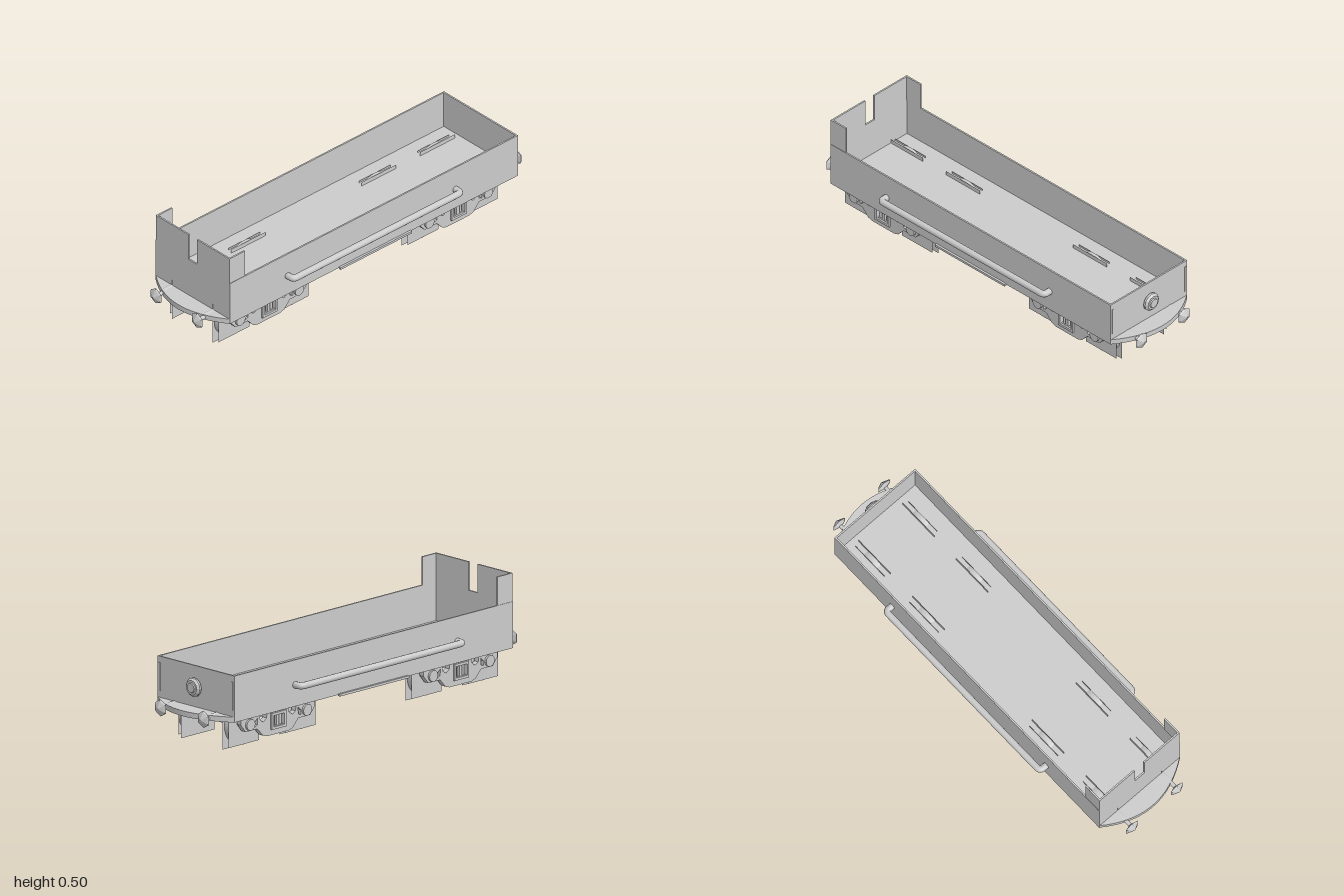
import * as THREE from 'three';

const grey = new THREE.MeshStandardMaterial({ color: 0xcccccc, side: THREE.DoubleSide });
const flat = new THREE.MeshStandardMaterial({ color: 0xcccccc, flatShading: true, side: THREE.DoubleSide });

function add(parent, name, geometry, x = 0, y = 0, z = 0, material = grey) {
  const mesh = new THREE.Mesh(geometry, material);
  mesh.name = name;
  mesh.position.set(x, y, z);
  parent.add(mesh);
  return mesh;
}

// Box given by its limits on each axis
function block(parent, name, x0, x1, y0, y1, z0, z1) {
  return add(parent, name, new THREE.BoxGeometry(x1 - x0, y1 - y0, Math.abs(z1 - z0)),
    (x0 + x1) / 2, (y0 + y1) / 2, (z0 + z1) / 2);
}

// Lathe whose axis points along x; dir is the end it faces
function turned(parent, name, profile, sides, x, y, z, dir, material) {
  const points = profile.map(([r, h]) => new THREE.Vector2(r, h));
  const mesh = add(parent, name, new THREE.LatheGeometry(points, sides), x, y, z, material);
  mesh.rotation.z = -dir * Math.PI / 2;
  return mesh;
}

const outline = (pts, Type = THREE.Shape) => new Type(pts.map(([x, y]) => new THREE.Vector2(x, y)));

function buildBody(root) {
  const body = new THREE.Group();
  body.name = 'body';
  root.add(body);
  block(body, 'floor', -0.88, 0.89, 0.155, 0.19, -0.242, 0.242);
  block(body, 'rightEndWall', -0.88, -0.872, 0.155, 0.372, -0.245, 0.245);
  block(body, 'leftEndWall', 0.882, 0.89, 0.155, 0.372, -0.245, 0.245);
  for (const s of [-1, 1]) {
    block(body, 'sideWall', -0.88, 0.89, 0.155, 0.372, s * 0.245, s * 0.237);
    // Raised screen around the corner
    block(body, 'endScreen', -0.88, -0.872, 0.372, 0.505, s * 0.243, s * 0.029);
    block(body, 'sideScreen', -0.88, -0.785, 0.372, 0.505, s * 0.243, s * 0.235);
    // Low step strip along the sill
    block(body, 'sillStep', -0.21, 0.23, 0.149, 0.16, s * 0.244, s * 0.256);
    // Long side rail with rounded corners
    const path = new THREE.CurvePath();
    const v = (x, z) => new THREE.Vector3(x, 0.256, s * z);
    path.add(new THREE.LineCurve3(v(-0.525, 0.24), v(-0.525, 0.265)));
    path.add(new THREE.QuadraticBezierCurve3(v(-0.525, 0.265), v(-0.525, 0.283), v(-0.505, 0.283)));
    path.add(new THREE.LineCurve3(v(-0.505, 0.283), v(0.485, 0.283)));
    path.add(new THREE.QuadraticBezierCurve3(v(0.485, 0.283), v(0.505, 0.283), v(0.505, 0.265)));
    path.add(new THREE.LineCurve3(v(0.505, 0.265), v(0.505, 0.24)));
    add(body, 'sideRail', new THREE.TubeGeometry(path, 160, 0.016, 12));
    // Upright strip on the end wall
    block(body, 'endStrip', 0.889, 0.893, 0.21, 0.343, s * 0.227, s * 0.236);
  }
}

// Bowed footplate and two buffers at each end
function buildEnds(root) {
  for (const d of [-1, 1]) {
    const end = new THREE.Group();
    end.name = 'endPlatform';
    root.add(end);
    const x0 = d < 0 ? 0.88 : 0.89;
    const arc = [];
    for (let i = 0; i <= 20; i++) {
      const t = i / 10 - 1;
      arc.push([d * (x0 + 0.088 * (1 - t * t)), t * 0.243]);
    }
    const plate = add(end, 'footplate',
      new THREE.ExtrudeGeometry(outline(arc), { depth: 0.025, bevelEnabled: false }), 0, 0.18, 0);
    plate.rotation.x = Math.PI / 2;
    for (const s of [-1, 1]) {
      turned(end, 'bufferShaft', [[0.017, 0], [0.017, 0.05], [0.01, 0.05], [0.01, 0.1]], 12,
        d * 0.88, 0.166, s * 0.136, d);
      const head = turned(end, 'bufferHead', [[0, 0], [0.012, 0], [0.04, 0.01], [0.034, 0.016], [0, 0.032]], 6,
        d * 0.968, 0.166, s * 0.136, d, flat);
      head.geometry.rotateY(Math.PI / 2);
    }
  }
  turned(root, 'endLamp', [[0.03, 0], [0.044, 0.01], [0.044, 0.02], [0.034, 0.03], [0.024, 0.03],
    [0.022, 0.036], [0, 0.036]], 12, 0.889, 0.275, 0, 1, flat);
}

function buildBogie(root, cx) {
  const bogie = new THREE.Group();
  bogie.name = 'bogie';
  bogie.position.x = cx;
  root.add(bogie);

  for (const x of [-0.18, 0.18]) {
    const axle = add(bogie, 'axle', new THREE.CylinderGeometry(0.02, 0.02, 0.3, 16), x, 0.105, 0);
    axle.rotation.x = Math.PI / 2;
    for (const s of [-1, 1]) {
      // Square wheel faces with a round tread between them
      add(bogie, 'wheelInnerFace', new THREE.PlaneGeometry(0.214, 0.21), x, 0.105, s * 0.133);
      add(bogie, 'wheelOuterFace', new THREE.PlaneGeometry(0.192, 0.19), x, 0.105, s * 0.16);
      const tread = add(bogie, 'wheelTread',
        new THREE.CylinderGeometry(0.096, 0.096, 0.027, 32, 1, true), x, 0.105, s * 0.1465);
      tread.rotation.x = Math.PI / 2;
      const box = add(bogie, 'axleBox', new THREE.CylinderGeometry(0.027, 0.027, 0.042, 12), x, 0.108, s * 0.186);
      box.rotation.x = Math.PI / 2;
    }
  }

  // Side frame with lightening holes
  const frame = outline([[-0.235, 0.155], [-0.235, 0.115], [-0.205, 0.078], [-0.13, 0.078], [-0.095, 0.04],
    [-0.07, 0.032], [0.07, 0.032], [0.095, 0.04], [0.13, 0.078], [0.205, 0.078], [0.235, 0.115], [0.235, 0.155]]);
  for (const m of [-1, 1]) {
    frame.holes.push(outline([[m * 0.07, 0.138], [m * 0.115, 0.138], [m * 0.112, 0.115], [m * 0.092, 0.103],
      [m * 0.072, 0.118]], THREE.Path));
    frame.holes.push(outline([[m * 0.128, 0.13], [m * 0.148, 0.112], [m * 0.146, 0.09], [m * 0.13, 0.098]], THREE.Path));
    frame.holes.push(outline([[m * 0.008, 0.125], [m * 0.035, 0.125], [m * 0.035, 0.072], [m * 0.008, 0.072]], THREE.Path));
  }
  for (const s of [-1, 1]) {
    add(bogie, 'sideFrame', new THREE.ExtrudeGeometry(frame, { depth: 0.026, bevelEnabled: false }),
      0, 0, s > 0 ? 0.171 : -0.197);
    // Central spring pocket: frame bars and two springs
    for (const m of [-1, 1]) {
      block(bogie, 'pocketPost', m * 0.04 - 0.006, m * 0.04 + 0.006, 0.06, 0.135, s * 0.18, s * 0.206);
      add(bogie, 'spring', new THREE.CylinderGeometry(0.009, 0.009, 0.056, 10), m * 0.022, 0.098, s * 0.184);
    }
    block(bogie, 'pocketTop', -0.046, 0.046, 0.123, 0.135, s * 0.18, s * 0.206);
    block(bogie, 'pocketBase', -0.046, 0.046, 0.058, 0.07, s * 0.18, s * 0.206);
  }
}

export function createModel() {
  const root = new THREE.Group();
  root.name = 'railWagon';
  buildBody(root);
  buildEnds(root);
  for (const cx of [-0.595, 0.566]) buildBogie(root, cx);
  return root;
}
